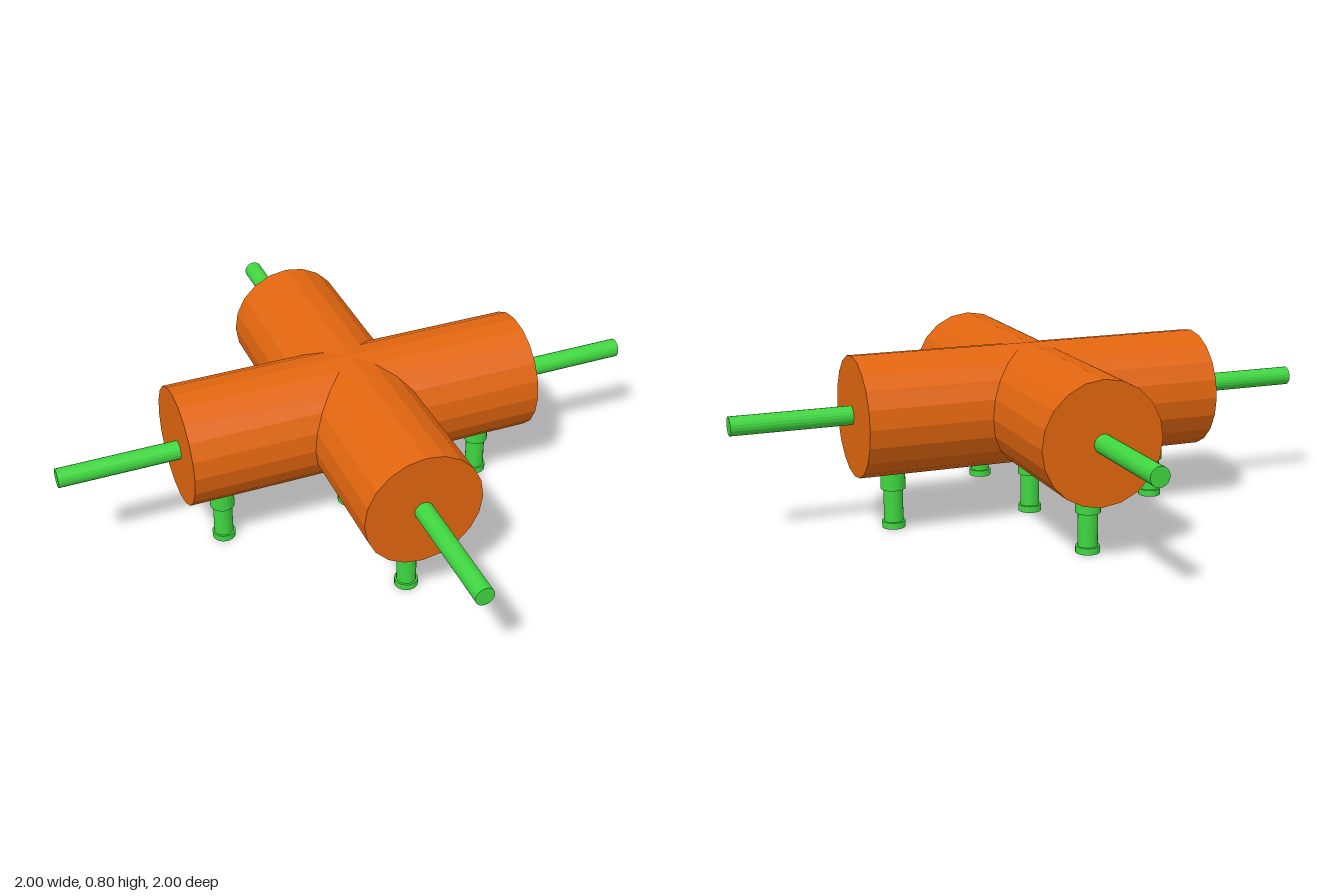
import * as THREE from 'three';

export function createModel() {
  const model = new THREE.Group();
  const orange = new THREE.MeshStandardMaterial({ color: 0xe2660f, flatShading: true });
  orange.name = 'orange';
  const green = new THREE.MeshStandardMaterial({ color: 0x3fd640, flatShading: true });
  green.name = 'green';

  const SIDES = 20;
  const AXIS_Y = 0.53;

  // Horizontal cylinder along z, turned about y
  function addBar(name, radius, length, angle, x, z, material) {
    const geometry = new THREE.CylinderGeometry(radius, radius, length, SIDES);
    geometry.rotateX(Math.PI / 2);
    const mesh = new THREE.Mesh(geometry, material);
    mesh.name = name;
    mesh.rotation.y = angle;
    mesh.position.set(x, AXIS_Y, z);
    model.add(mesh);
  }

  // Two crossed drums, each with a thin rod sticking out of both ends
  for (const [name, angle] of [['first', Math.PI / 4], ['second', -Math.PI / 4]]) {
    addBar(name + 'Drum', 0.272, 1.655, angle, -0.02, -0.023, orange);
    addBar(name + 'Rod', 0.043, 2.742, angle, 0, 0, green);
  }

  // Leg: foot flange, shaft and collar, from the ground up
  const legSections = [
    ['foot', 0.053, 0, 0.03],
    ['shaft', 0.044, 0.03, 0.18],
    ['collar', 0.056, 0.18, 0.27],
  ];
  function addLeg(name, x, z) {
    const leg = new THREE.Group();
    leg.name = name;
    for (const [part, radius, y0, y1] of legSections) {
      const mesh = new THREE.Mesh(new THREE.CylinderGeometry(radius, radius, y1 - y0, SIDES), green);
      mesh.name = part;
      mesh.position.y = (y0 + y1) / 2;
      leg.add(mesh);
    }
    leg.position.set(x, 0, z);
    model.add(leg);
  }

  // One leg under each arm and one in the middle
  addLeg('centreLeg', -0.017, 0);
  addLeg('frontLeftLeg', 0.45, 0.45);
  addLeg('frontRightLeg', -0.447, 0.465);
  addLeg('backLeftLeg', 0.45, -0.47);
  addLeg('backRightLeg', -0.48, -0.45);

  return model;
}
